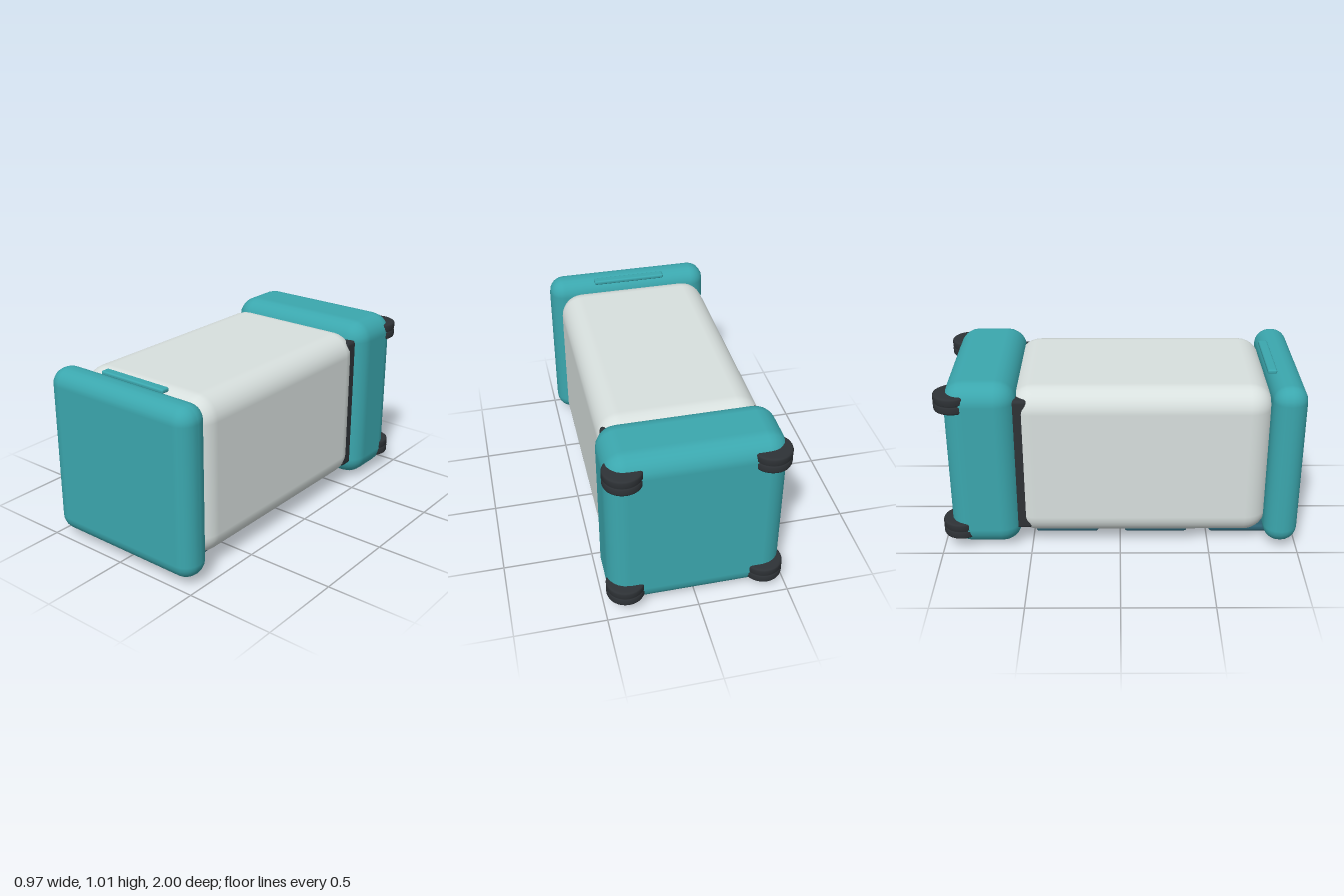
import * as THREE from 'three';
import { RoundedBoxGeometry } from 'three/addons/geometries/RoundedBoxGeometry.js';

const mat = (color) => new THREE.MeshStandardMaterial({ color });

export function createModel() {
  const model = new THREE.Group();
  model.name = 'drawerCart';
  const teal = mat(0x3ba7ae), shell = mat(0xd8e0de), navy = mat(0x2b5f70);
  const black = mat(0x2e3236), metal = mat(0xcccccc);

  const add = (name, geometry, material, x = 0, y = 0, z = 0) => {
    const mesh = new THREE.Mesh(geometry, material);
    mesh.name = name;
    mesh.position.set(x, y, z);
    model.add(mesh);
    return mesh;
  };

  // Rounded box given by half width and its extents in y and z
  const block = (name, material, halfX, [y0, y1], [z0, z1], radius, segments = 3) =>
    add(name, new RoundedBoxGeometry(halfX * 2, y1 - y0, z1 - z0, segments, radius),
      material, 0, (y0 + y1) / 2, (z0 + z1) / 2);

  // Cabinet lying on its drawer side
  block('body', shell, 0.44, [0.07, 0.97], [-0.6, 0.83], 0.13, 4);
  block('topSlab', teal, 0.485, [0.042, 0.998], [0.81, 1.0], 0.09);
  block('base', teal, 0.475, [0.025, 1.015], [-0.95, -0.555], 0.115);
  block('bumperCore', black, 0.425, [0.12, 0.92], [-0.6, -0.497], 0.02, 2);
  block('pushHandle', teal, 0.215, [0.98, 1.005], [0.805, 0.857], 0.01, 2);

  // Drawer fronts with bar pulls
  for (const [z0, z1, pullZ] of [[0.51, 0.87, 0.555], [0.025, 0.385, 0.07], [-0.485, -0.125, -0.44]]) {
    block('drawerFront', navy, 0.33, [0.035, 0.076], [z0, z1], 0.018, 2);
    block('drawerPull', metal, 0.158, [0.004, 0.036], [pullZ - 0.015, pullZ + 0.015], 0.012, 2);
  }

  // Casters: rounded tyres with a groove around the middle
  const profile = [
    [0, -0.048], [0.093, -0.048], [0.102, -0.043], [0.105, -0.035], [0.105, -0.007],
    [0.099, -0.004], [0.099, 0.004], [0.105, 0.007], [0.105, 0.035], [0.102, 0.043],
    [0.093, 0.048], [0, 0.048],
  ].map(([r, y]) => new THREE.Vector2(r, y));
  const tyre = new THREE.LatheGeometry(profile, 32);
  const foot = new THREE.CylinderGeometry(0.053, 0.053, 0.012, 24);
  for (const side of [-1, 1]) {
    for (const y of [0.133, 0.909]) add('wheel', tyre, black, side * 0.38, y, -0.895);
    // Small pads on the drawer side of the base
    add('footPad', foot, black, side * 0.243, 0.028, -0.648);
  }
  return model;
}
